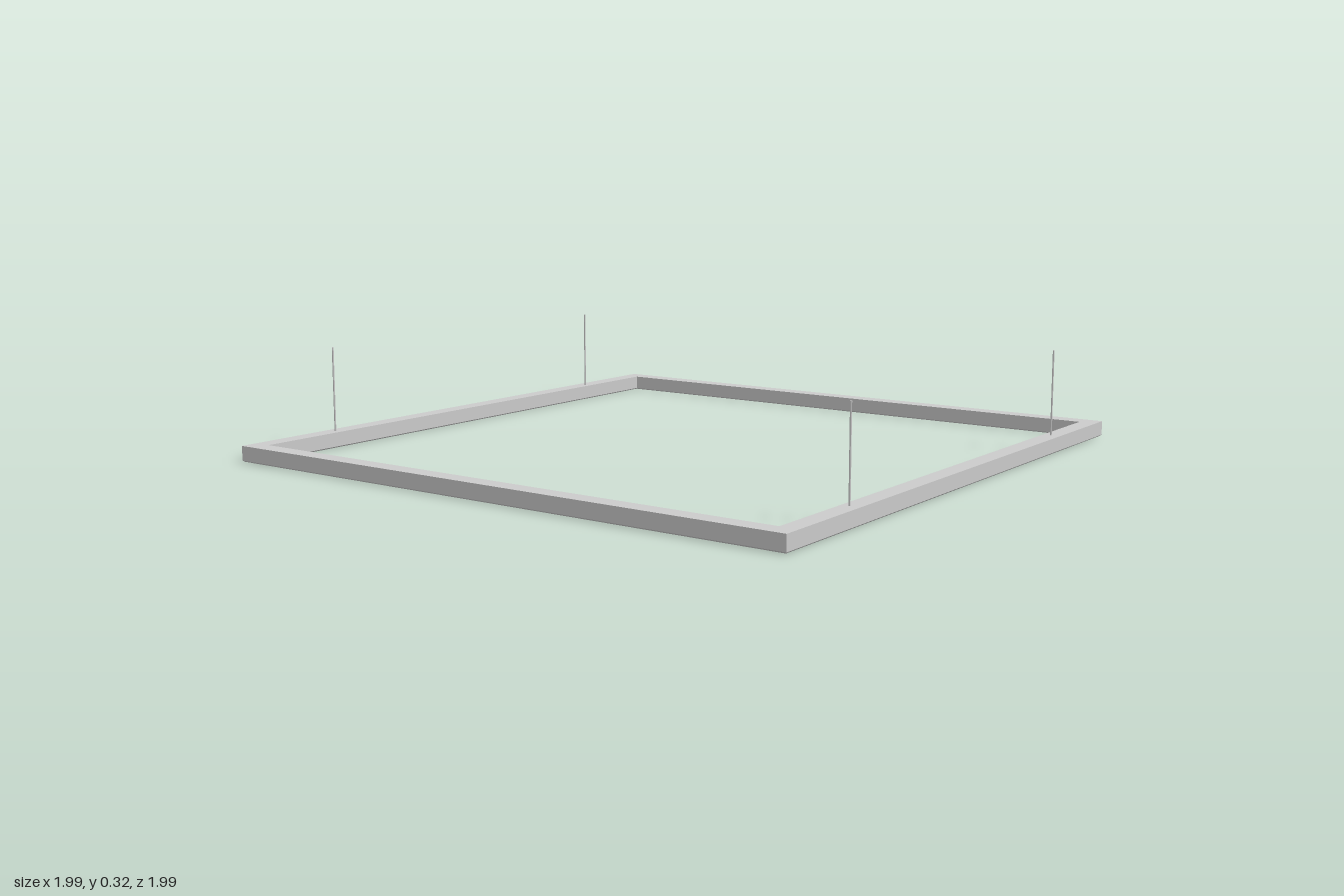
import * as THREE from 'three';

const grey = new THREE.MeshStandardMaterial({ color: 0xcccccc, flatShading: true });

// Square ring with mitred corners: a closed (half-width, height) profile turned in four steps
function squareRing(profile) {
  const pts = [...profile, profile[0]].map(([r, y]) => new THREE.Vector2(r * Math.SQRT2, y));
  const geo = new THREE.LatheGeometry(pts, 4, Math.PI / 4).toNonIndexed();
  geo.computeVertexNormals();
  return geo;
}

export function createModel() {
  const group = new THREE.Group();
  const add = (name, geo, x = 0, y = 0, z = 0) => {
    const mesh = new THREE.Mesh(geo, grey);
    mesh.name = name;
    mesh.position.set(x, y, z);
    group.add(mesh);
  };

  // Housing of the square lamp
  add('frameHousing', squareRing([[0.997, 0.01], [0.997, 0.05], [0.94, 0.05], [0.94, 0.01]]));

  // Light strip under the housing, with bevelled lower edges
  add('lightStrip', squareRing([[0.997, 0.004], [0.997, 0.01], [0.94, 0.01], [0.94, 0.004], [0.944, 0], [0.993, 0]]));

  // Four suspension wires on the two side beams
  const wire = new THREE.CylinderGeometry(0.003, 0.003, 0.275, 8);
  for (const x of [-0.965, 0.965])
    for (const z of [-0.643, 0.643]) add('suspensionWire', wire, x, 0.1875, z);

  return group;
}
